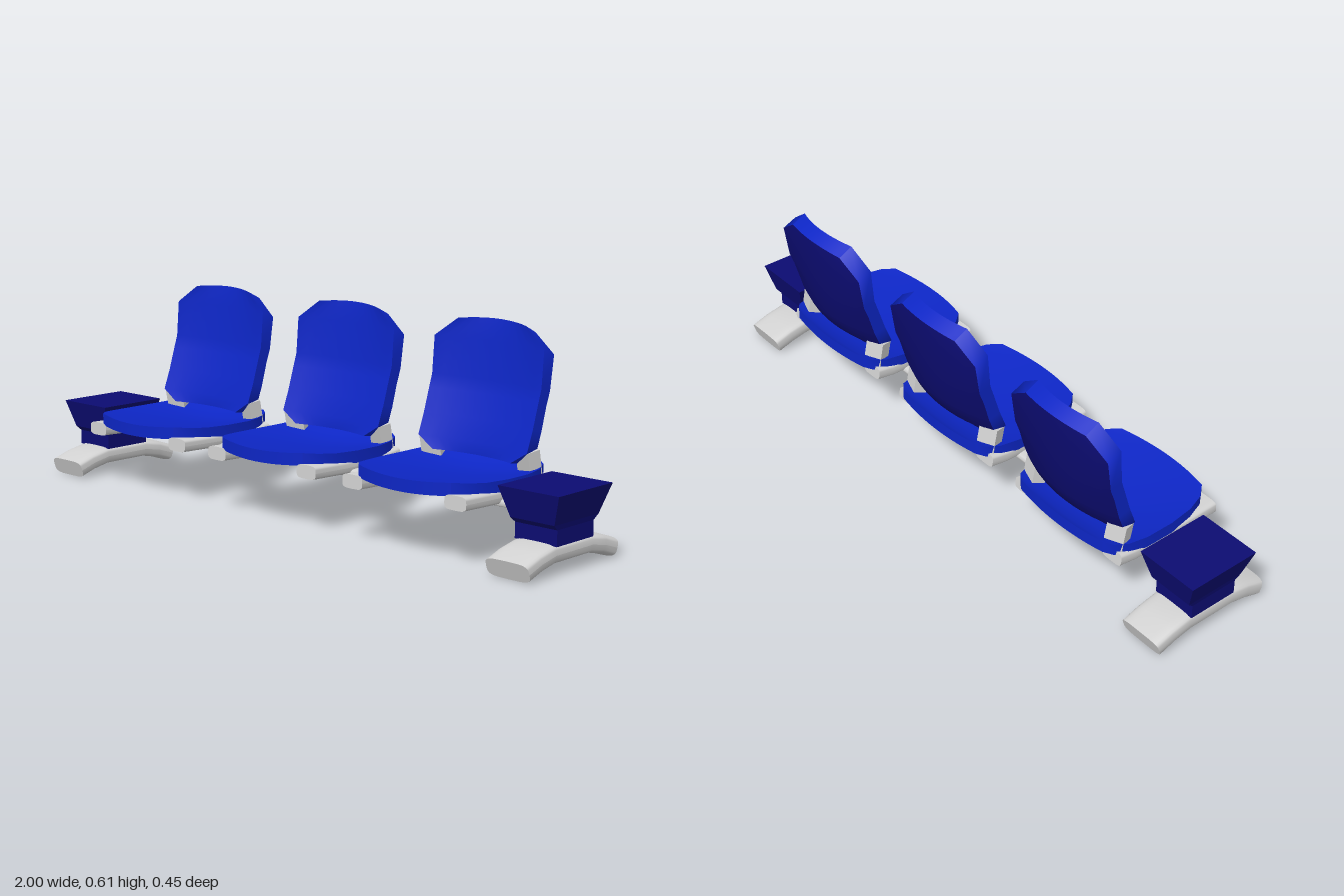
import * as THREE from 'three';
import { mergeGeometries } from 'three/addons/utils/BufferGeometryUtils.js';

const upholstery = new THREE.MeshStandardMaterial({ name: 'blue upholstery', color: 0x0d26c6 });
const navy = new THREE.MeshStandardMaterial({ name: 'navy shell', color: 0x0c0c72 });
const metal = new THREE.MeshStandardMaterial({ name: 'light grey metal', color: 0xd2d2d2 });

// Smooth grid surface from fn(u, v), facing du x dv
function sheet(fn, nu, nv) {
  const pos = [], index = [], n = nu + 1;
  for (let j = 0; j <= nv; j++) {
    for (let i = 0; i <= nu; i++) pos.push(...fn(i / nu, j / nv).toArray());
  }
  for (let j = 0; j < nv; j++) {
    for (let i = 0; i < nu; i++) {
      const a = j * n + i;
      index.push(a, a + 1, a + n + 1, a, a + n + 1, a + n);
    }
  }
  const g = new THREE.BufferGeometry();
  g.setAttribute('position', new THREE.Float32BufferAttribute(pos, 3));
  g.setIndex(index);
  g.computeVertexNormals();
  return g;
}

// Padded slab between surfaces a and b: [face with rim, reverse face]
function slab(a, b, nu, nv) {
  const mix = (p, q, t) => p.clone().lerp(q, t);
  const face = mergeGeometries([
    sheet(a, nu, nv),
    sheet((u, v) => mix(a(1, v), b(1, v), u), 1, nv),
    sheet((u, v) => mix(b(0, v), a(0, v), u), 1, nv),
    sheet((u, v) => mix(a(u, 1), b(u, 1), v), nu, 1),
    sheet((u, v) => mix(b(u, 0), a(u, 0), v), nu, 1),
  ]);
  return [face, sheet((u, v) => b(1 - u, v), nu, nv)];
}

// Rounded bar swept along a [z, y] path, running towards +z
function bar(path, w, h) {
  const last = path.length - 1;
  const ring = (u, k, s = 1) => {
    const p = path[k], q0 = path[Math.max(k - 1, 0)], q1 = path[Math.min(k + 1, last)];
    const t = new THREE.Vector2(q1[0] - q0[0], q1[1] - q0[1]).normalize();
    const c = Math.cos(u * Math.PI * 2), d = Math.sin(u * Math.PI * 2);
    const x = Math.sign(c) * Math.sqrt(Math.abs(c)) * w / 2 * s;
    const n = Math.sign(d) * Math.sqrt(Math.abs(d)) * h / 2 * s;
    return new THREE.Vector3(x, p[1] + n * t.x, p[0] - n * t.y);
  };
  return mergeGeometries([
    sheet((u, v) => ring(u, Math.round(v * last)), 24, last),
    sheet((u, v) => ring(u, last, 1 - v), 24, 1),
    sheet((u, v) => ring(u, 0, v), 24, 1),
  ]);
}

// Rows front to rear: z, half width, top height, side rise, edge bow
const cushionRows = [
  [0.2, 0.165, 0.222, 0.008, 0.026],
  [0.165, 0.195, 0.217, 0.01, 0.02],
  [0.11, 0.213, 0.209, 0.014, 0.012],
  [0.03, 0.222, 0.199, 0.022, 0],
  [-0.06, 0.222, 0.194, 0.027, 0],
  [-0.12, 0.213, 0.2, 0.024, 0],
  [-0.16, 0.195, 0.216, 0.014, -0.008],
  [-0.178, 0.17, 0.232, 0.002, -0.016],
];
// Rows bottom to top: front y, rear y, half width, front z at sides, rear z at centre, rear z at sides
const backRows = [
  [0.235, 0.23, 0.14, -0.083, -0.13, -0.115],
  [0.27, 0.262, 0.195, -0.085, -0.165, -0.125],
  [0.33, 0.32, 0.195, -0.108, -0.193, -0.147],
  [0.4, 0.39, 0.195, -0.13, -0.203, -0.167],
  [0.44, 0.43, 0.195, -0.143, -0.213, -0.182],
  [0.55, 0.53, 0.195, -0.152, -0.225, -0.197],
  [0.605, 0.583, 0.12, -0.165, -0.226, -0.21],
];
const rowAt = (rows, v) => rows[Math.round(v * (rows.length - 1))];

function cushionSurface(drop) {
  return (u, v) => {
    const [z, w, y, rise, bow] = rowAt(cushionRows, v), s = u * 2 - 1;
    return new THREE.Vector3(s * w, y + rise * s * s - drop, z + bow * (1 - s * s));
  };
}
function backFront(u, v) {
  const [y, , w, z] = rowAt(backRows, v), s = u * 2 - 1, k = 1 - s * s;
  return new THREE.Vector3(s * w, y + (v === 1 ? 0.007 * k : 0), z - 0.022 * k);
}
function backRear(u, v) {
  const [, y, w, , zc, zs] = rowAt(backRows, v), s = u * 2 - 1, k = 1 - s * s;
  return new THREE.Vector3(s * w, y + (v === 1 ? 0.007 * k : 0), zs + (zc - zs) * k);
}

// Square pedestal flaring into a flat table top
function pedestal() {
  const rows = [[0.225, 0.1, 0.118], [0.14, 0.072, 0.097], [0.125, 0.069, 0.08], [0.08, 0.069, 0.08]];
  const g = new THREE.CylinderGeometry(Math.SQRT2, Math.SQRT2, 3, 4, 3).rotateY(Math.PI / 4).toNonIndexed();
  const p = g.attributes.position;
  for (let i = 0; i < p.count; i++) {
    const [y, hx, hz] = rows[Math.round(1.5 - p.getY(i))];
    p.setXYZ(i, p.getX(i) * hx, y, p.getZ(i) * hz);
  }
  g.computeVertexNormals();
  return g;
}

export function createModel() {
  const model = new THREE.Group();
  model.name = 'benchSeating';
  const add = (parent, name, geometry, material, x = 0) => {
    const m = new THREE.Mesh(geometry, material);
    m.name = name;
    m.position.x = x;
    parent.add(m);
    return m;
  };

  // Shared geometry for the three seats
  const cushion = mergeGeometries(slab(cushionSurface(0), cushionSurface(0.036), 12, cushionRows.length - 1));
  const [backPad, backShell] = slab(backFront, backRear, 12, backRows.length - 1);
  const bracket = bar([[-0.155, 0.184], [-0.1, 0.176], [-0.03, 0.174], [0.08, 0.175], [0.205, 0.179]], 0.075, 0.04);
  const hinge = new THREE.BoxGeometry(0.06, 0.075, 0.04);

  for (const x of [-0.545, 0, 0.545]) {
    const seat = new THREE.Group();
    seat.name = 'seat';
    seat.position.x = x;
    model.add(seat);
    add(seat, 'cushion', cushion, upholstery);
    add(seat, 'backrestPad', backPad, upholstery);
    add(seat, 'backrestShell', backShell, navy);
    for (const side of [-1, 1]) {
      add(seat, 'seatBracket', bracket, metal, side * 0.184);
      const h = add(seat, 'backrestHinge', hinge, metal, side * 0.172);
      h.position.set(side * 0.172, 0.237, -0.124);
      h.rotation.set(0.2, side * -0.3, 0);
    }
  }

  // Cross beam carrying the seats
  const beam = bar([[-0.85, 0.16], [-0.4, 0.157], [0, 0.156], [0.4, 0.157], [0.85, 0.16]], 0.12, 0.026);
  add(model, 'crossBeam', beam.rotateY(Math.PI / 2), metal);

  // End tables on arched feet
  const foot = bar([[-0.194, 0.027], [-0.14, 0.045], [-0.08, 0.057], [0.08, 0.057], [0.14, 0.045], [0.194, 0.027]], 0.142, 0.055);
  const table = pedestal();
  for (const side of [-1, 1]) {
    add(model, 'endTable', table, navy, side * 0.9);
    add(model, 'foot', foot, metal, side * 0.898);
  }
  return model;
}
